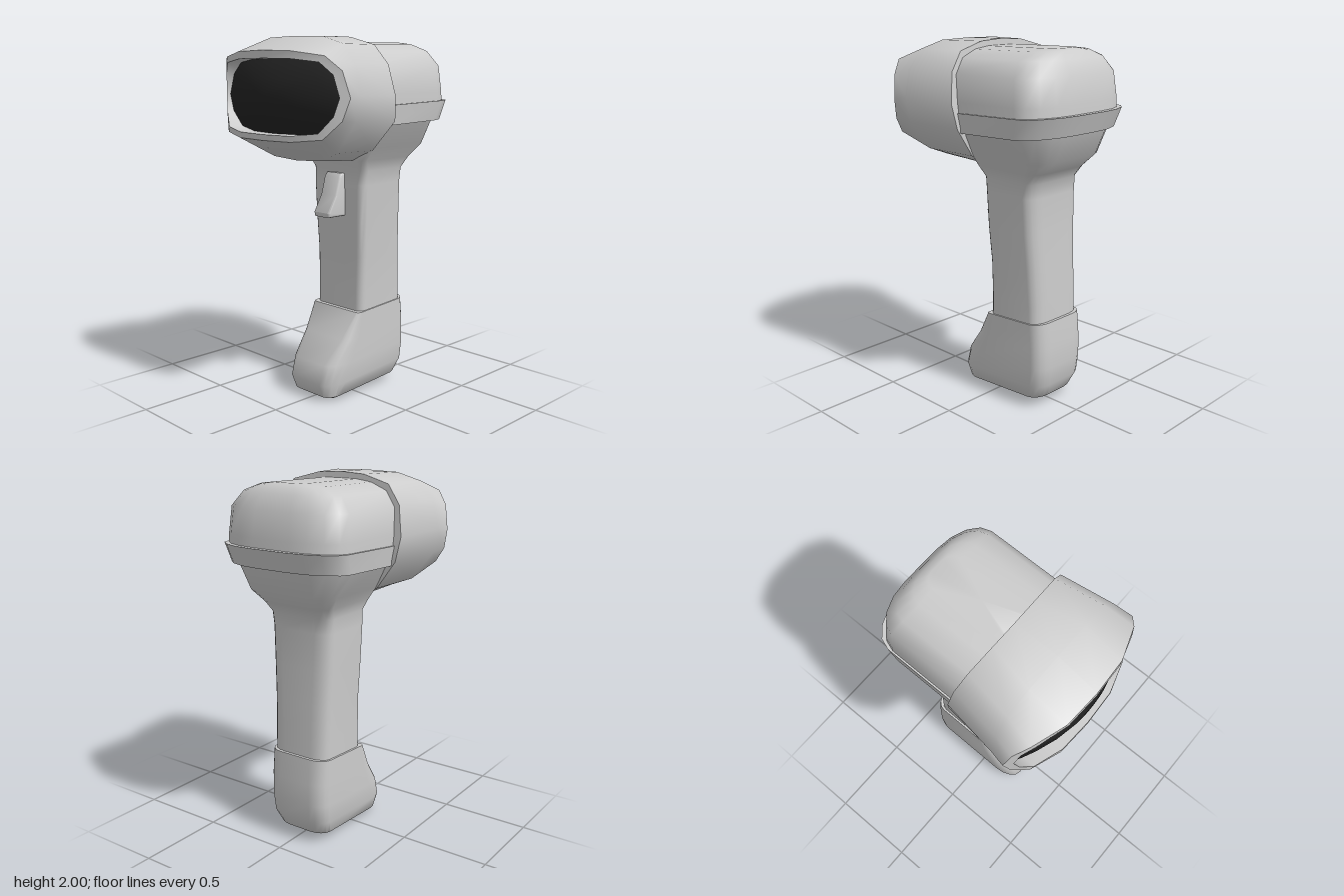
import * as THREE from 'three';
import { toCreasedNormals } from 'three/addons/utils/BufferGeometryUtils.js';

const grey = new THREE.MeshStandardMaterial({ color: 0xcccccc });
const dark = new THREE.MeshStandardMaterial({ color: 0x222222 });

// Skin rings of [x, y, z] points; rings run counter-clockwise seen from the end they lead to.
function loft(name, rings, { start = true, end = true, material = grey, crease = 0.8 } = {}) {
  const n = rings[0].length, pos = rings.flat(2), idx = [];
  for (let i = 0; i < rings.length - 1; i++) {
    for (let j = 0; j < n; j++) {
      const a = i * n + j, b = i * n + (j + 1) % n;
      idx.push(a, b, b + n, a, b + n, a + n);
    }
  }
  const cap = (ring, base, flip) => {
    const c = pos.length / 3;
    for (let k = 0; k < 3; k++) pos.push(ring.reduce((s, p) => s + p[k], 0) / n);
    for (let j = 0; j < n; j++) {
      const a = base + j, b = base + (j + 1) % n;
      idx.push(c, flip ? b : a, flip ? a : b);
    }
  };
  if (start) cap(rings[0], 0, true);
  if (end) cap(rings[rings.length - 1], (rings.length - 1) * n, false);
  const g = new THREE.BufferGeometry();
  g.setAttribute('position', new THREE.Float32BufferAttribute(pos, 3));
  g.setIndex(idx);
  const mesh = new THREE.Mesh(toCreasedNormals(g, crease), material);
  mesh.name = name;
  return mesh;
}

// Horizontal rounded rectangle; rf and rb are [x, z] radii of the front and back corners.
function plan(y, hw, zf, zb, rf, rb, cx = 0, tilt = 0, pivot = 0) {
  const pts = [], steps = 4;
  for (let q = 0; q < 4; q++) {
    const back = q < 2, r = back ? rb : rf;
    const x0 = (q === 0 || q === 3 ? 1 : -1) * (hw - r[0]);
    const z0 = back ? zb + r[1] : zf - r[1];
    for (let s = 0; s <= steps; s++) {
      const a = (q + s / steps) * Math.PI / 2;
      const z = z0 - Math.sin(a) * r[1];
      pts.push([cx + x0 + Math.cos(a) * r[0], y - tilt * (z - pivot), z]);
    }
  }
  return pts;
}

// Full upright ring from a right-hand half outline (top to bottom); z comes from a rule.
function upright(half, zAt) {
  const full = half.map(([x, y], i) => [x, y, zAt(x, y, i)]);
  return full.concat(full.slice(1, -1).reverse().map(([x, y, z]) => [-x, y, z]));
}

export function createModel() {
  const model = new THREE.Group();
  const mouthZ = x => 0.56 - 0.15 * Math.pow(Math.abs(x) / 0.48, 3);

  // Scanning head: recessed rim, flared mouth and body
  const mouth = [[0, 1.92], [0.2, 1.915], [0.38, 1.89], [0.45, 1.82], [0.48, 1.69],
    [0.45, 1.58], [0.37, 1.49], [0.2, 1.472], [0, 1.47]];
  const opening = [[0, 1.88], [0.19, 1.878], [0.355, 1.86], [0.415, 1.8], [0.44, 1.69],
    [0.415, 1.6], [0.35, 1.52], [0.19, 1.502], [0, 1.5]];
  const belly = [[0, 1.995], [0.2, 1.99], [0.35, 1.95], [0.43, 1.85], [0.465, 1.7],
    [0.44, 1.57], [0.31, 1.41], [0.18, 1.36], [0, 1.35]];
  const rear = [[0, 2], [0.15, 1.992], [0.31, 1.95], [0.39, 1.85], [0.42, 1.69],
    [0.4, 1.56], [0.27, 1.4], [0.15, 1.34], [0, 1.33]];
  const rearZ = [0.08, 0.077, 0.065, 0.045, 0.02, 0, 0.03, 0.06, 0.09];
  model.add(loft('scannerHead', [
    upright(opening, x => mouthZ(x) - 0.12),
    upright(opening, mouthZ),
    upright(mouth, mouthZ),
    upright(belly, () => 0.33),
    upright(rear, (x, y, i) => rearZ[i]),
  ], { start: false }));

  // Domed dark window
  const windowRings = [0.02, 0.25, 0.5, 0.75, 0.9, 1].map(t =>
    upright(opening.map(([x, y]) => [x * t, 1.69 + (y - 1.69) * t]),
      (x, y) => 0.55 - 0.13 * (x / 0.44) ** 2 - 0.07 * ((y - 1.69) / 0.19) ** 2));
  model.add(loft('scanWindow', windowRings, { end: false, material: dark }));

  // Rear hood
  model.add(loft('rearHood', [
    [1.6, 0.375, -0.53, 0.26, 0.15],
    [1.7, 0.375, -0.525, 0.26, 0.15],
    [1.84, 0.362, -0.505, 0.25, 0.14],
    [1.92, 0.3, -0.46, 0.2, 0.12],
    [1.958, 0.2, -0.425, 0.13, 0.1],
    [1.97, 0.1, -0.39, 0.06, 0.06],
  ].map(([y, hw, zb, rx, rz]) => plan(y, hw, 0.15, zb, [0.02, 0.02], [rx, rz], 0, 0.015, -0.2))));

  // Band wrapping the back of the head
  model.add(loft('band', [
    [1.54, 0.374, -0.52], [1.645, 0.385, -0.56],
  ].map(([y, hw, zb]) => plan(y, hw, 0.05, zb, [0.02, 0.02], [0.28, 0.16], 0, 0.03, -0.1))));

  // Handle with flared neck, built from bottom to top
  model.add(loft('handle', [
    [0.4, 0.177, 0.01, -0.352, 0.06, -0.012],
    [0.6, 0.178, 0.008, -0.345, 0.06, -0.012],
    [0.8, 0.182, 0.008, -0.335, 0.06, -0.01],
    [1, 0.19, 0.02, -0.325, 0.06, -0.007],
    [1.2, 0.197, 0.025, -0.32, 0.06, -0.006],
    [1.28, 0.2, 0.025, -0.325, 0.06, -0.003],
    [1.34, 0.22, 0.06, -0.37, 0.07, 0],
    [1.41, 0.27, 0.06, -0.44, 0.1, 0],
    [1.56, 0.355, 0.04, -0.5, 0.2, 0],
  ].map(([y, hw, zf, zb, r, cx]) => plan(y, hw, zf, zb, [0.04, 0.04], [r + 0.03, r], cx))));

  // Weighted foot, tapering towards its front
  model.add(loft('foot', [
    [0.01, 0.125, 0.19, -0.27, 0.04, 0.05],
    [0.032, 0.16, 0.23, -0.335, 0.06, 0.08],
    [0.11, 0.184, 0.258, -0.37, 0.08, 0.13],
    [0.215, 0.188, 0.228, -0.382, 0.08, 0.14],
    [0.34, 0.188, 0.12, -0.38, 0.05, 0.09],
    [0.482, 0.187, 0.03, -0.367, 0.02, 0.03],
  ].map(([y, hw, zf, zb, rx, rz]) =>
    plan(y, hw, zf, zb, [rx, rz], [0.09, 0.07], -0.014, 0.06, 0.03))));

  // Trigger
  const side = new THREE.Shape([[0, 1.26], [0.045, 1.26], [0.062, 1.24], [0.09, 1.14],
    [0.145, 1.045], [0.14, 1.02], [0, 1.02]].map(p => new THREE.Vector2(...p)));
  const geo = new THREE.ExtrudeGeometry(side, {
    depth: 0.1, bevelSize: 0.012, bevelThickness: 0.012, bevelOffset: -0.012, bevelSegments: 2,
  });
  geo.rotateY(-Math.PI / 2).translate(0.043, 0, 0);
  const trigger = new THREE.Mesh(toCreasedNormals(geo, 0.8), grey);
  trigger.name = 'trigger';
  model.add(trigger);

  return model;
}
